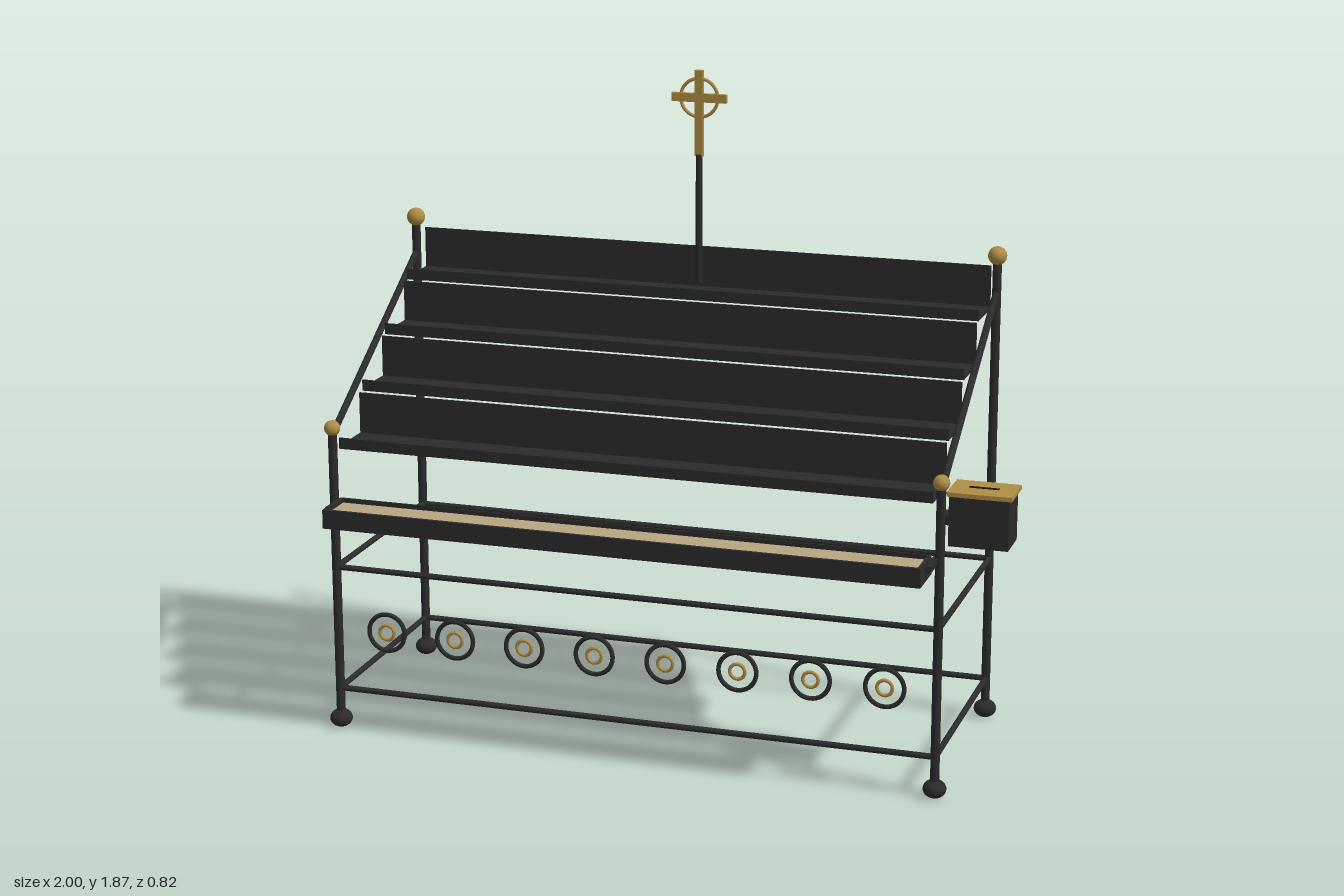
import * as THREE from 'three';

const mat = (name, color) => {
  const m = new THREE.MeshStandardMaterial({ color });
  m.name = name;
  return m;
};

export function createModel() {
  const model = new THREE.Group();
  model.name = 'candleStand';
  const iron = mat('blackIron', 0x2b2b2c);
  const brass = mat('brass', 0xb08d45);
  const sandMat = mat('sand', 0xb8a682);
  const slotMat = mat('slotBlack', 0x141414);

  const add = (name, geo, material, x = 0, y = 0, z = 0, parent = model) => {
    const mesh = new THREE.Mesh(geo, material);
    mesh.name = name;
    mesh.position.set(x, y, z);
    parent.add(mesh);
    return mesh;
  };
  // Box given by its minimum and maximum corners
  const box = (name, material, [x0, y0, z0], [x1, y1, z1], parent) =>
    add(name, new THREE.BoxGeometry(x1 - x0, y1 - y0, z1 - z0), material,
      (x0 + x1) / 2, (y0 + y1) / 2, (z0 + z1) / 2, parent);
  // Round bar between two points
  const bar = (name, a, b, r, material = iron) => {
    const p = new THREE.Vector3(...a), q = new THREE.Vector3(...b);
    const d = q.clone().sub(p);
    const m = add(name, new THREE.CylinderGeometry(r, r, d.length(), 16), material);
    m.position.copy(p).add(q).multiplyScalar(0.5);
    m.quaternion.setFromUnitVectors(new THREE.Vector3(0, 1, 0), d.normalize());
    return m;
  };

  const xs = [-0.97, 0.805], zFront = 0.27, zBack = -0.378;

  // Posts with flattened ball feet and brass finials
  for (const x of xs) {
    for (const [z, top, r] of [[zFront, 0.905, 0.023], [zBack, 1.39, 0.027]]) {
      bar('post', [x, 0.03, z], [x, top, z], 0.013);
      add('foot', new THREE.SphereGeometry(0.033, 24, 16), iron, x, 0.027, z).scale.y = 0.8;
      add('finial', new THREE.SphereGeometry(r, 24, 16), brass, x, top, z);
    }
    bar('slopedRail', [x, 0.885, zFront], [x, 1.285, zBack], 0.01);
  }

  // Two levels of rails around the frame
  for (const y of [0.12, 0.49]) {
    for (const x of xs) bar('sideRail', [x, y, zFront], [x, y, zBack], 0.0085);
    for (const z of [zFront, zBack]) bar('longRail', [xs[0], y, z], [xs[1], y, z], 0.0085);
  }

  // Four stepped shelves: tread, low front lip and tall back plate
  const left = -0.945, right = 0.785, t = 0.008;
  for (let i = 0; i < 4; i++) {
    const shelf = new THREE.Group();
    shelf.name = 'shelf';
    model.add(shelf);
    const y = 0.849 + i * 0.127, f = 0.281 - i * 0.173, b = f - 0.155;
    box('tread', iron, [left, y, b], [right, y + t, f], shelf);
    box('lip', iron, [left, y, f - 0.006], [right, y + 0.032, f], shelf);
    box('backPlate', iron, [left, y, b], [right, y + 0.127, b + 0.006], shelf);
  }

  // Sand tray in front, held by two arms
  const tray = new THREE.Group();
  tray.name = 'sandTray';
  model.add(tray);
  const y0 = 0.65, y1 = 0.705, za = 0.282, zb = 0.41, w = 0.01;
  box('trayFloor', iron, [left, y0, za], [right, y0 + w, zb], tray);
  box('trayFront', iron, [left, y0, zb - w], [right, y1, zb], tray);
  box('trayBack', iron, [left, y0, za], [right, y1, za + 0.006], tray);
  box('trayEnd', iron, [left, y0, za], [left + w, y1, zb], tray);
  box('trayEnd', iron, [right - w, y0, za], [right, y1, zb], tray);
  box('sand', sandMat, [left + w, y0 + w, za + 0.006], [right - w, 0.692, zb - w], tray);
  for (const x of [-0.953, 0.793])
    box('trayArm', iron, [x - 0.008, 0.677, zFront - 0.01], [x + 0.008, 0.695, 0.356], tray);

  // Row of ring ornaments between the front rails
  for (let i = 0; i < 8; i++) {
    const x = -0.818 + i * 0.211;
    add('outerRing', new THREE.TorusGeometry(0.055, 0.0065, 12, 40), iron, x, 0.305, zFront);
    add('innerRing', new THREE.TorusGeometry(0.022, 0.005, 12, 32), brass, x, 0.305, zFront);
  }

  // Offering box on the side of the front post
  const coin = new THREE.Group();
  coin.name = 'offeringBox';
  model.add(coin);
  box('boxBody', iron, [0.828, 0.733, 0.165], [0.992, 0.873, 0.28], coin);
  box('boxLid', brass, [0.822, 0.873, 0.157], [1.0, 0.885, 0.285], coin);
  box('coinSlot', slotMat, [0.87, 0.88, 0.214], [0.952, 0.887, 0.224], coin);
  box('boxBracket', iron, [0.8, 0.79, 0.215], [0.83, 0.815, 0.275], coin);

  // Pole with ringed brass cross
  const cx = -0.08, cy = 1.795;
  bar('crossPole', [cx, 1.25, zBack], [cx, 1.63, zBack], 0.01);
  box('crossUpright', brass, [cx - 0.0125, 1.625, zBack - 0.007], [cx + 0.0125, 1.875, zBack + 0.007]);
  box('crossBar', brass, [cx - 0.082, cy - 0.0125, zBack - 0.007], [cx + 0.082, cy + 0.0125, zBack + 0.007]);
  add('crossRing', new THREE.TorusGeometry(0.056, 0.005, 12, 40), brass, cx, cy, zBack);

  return model;
}
